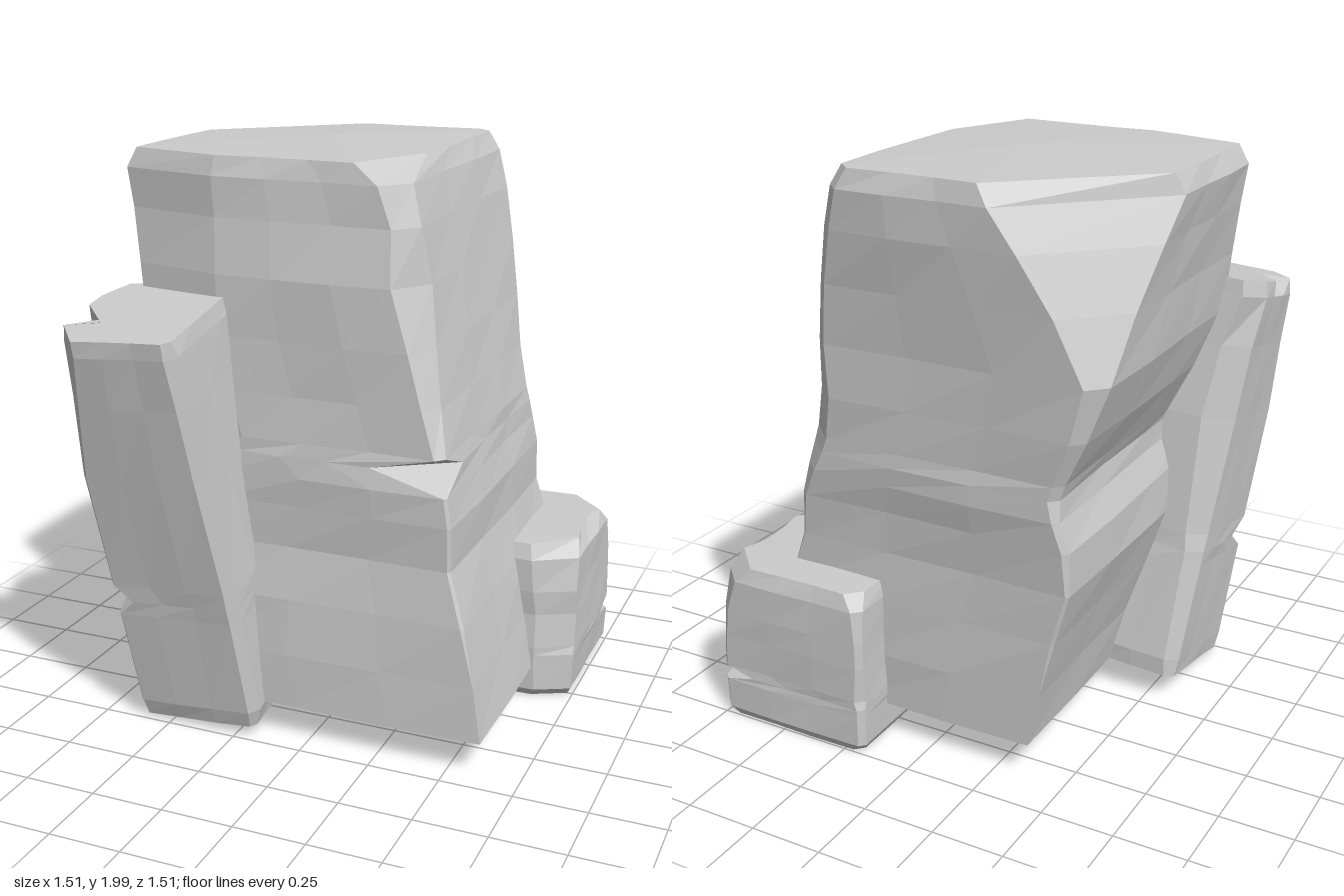
import * as THREE from 'three';

const material = new THREE.MeshStandardMaterial({ color: 0xcccccc, flatShading: true, side: THREE.DoubleSide });

// One ring: a rectangle with four cut corners and two slightly wobbled points on each side.
// row = [y, x0, x1, z0, z1, cut front-left, back-left, back-right, front-right] seen with +x as left;
// the order is (+x+z), (+x-z), (-x-z), (-x+z) and a cut is a number or [dx, dz].
function ring(row, level, { rise = () => 0, wobble = 0.008 }) {
  const [y, x0, x1, z0, z1, ...cuts] = row;
  const [a, b, c, d] = cuts.map((k) => (Array.isArray(k) ? k : [k, k]));
  const corners = [
    [x1 - a[0], z1], [x1, z1 - a[1]], [x1, z0 + b[1]], [x1 - b[0], z0],
    [x0 + c[0], z0], [x0, z0 + c[1]], [x0, z1 - d[1]], [x0 + d[0], z1],
  ];
  const points = [];
  for (let i = 0; i < 8; i++) {
    const p = corners[i], q = corners[(i + 1) % 8];
    points.push(p);
    if (i % 2 === 0) continue;
    const dx = q[0] - p[0], dz = q[1] - p[1], len = Math.hypot(dx, dz) || 1;
    for (const t of [0.33, 0.67]) {
      const w = wobble * Math.sin(level * 1.3 + i * 1.7 + t * 3);
      points.push([p[0] + dx * t - (dz / len) * w, p[1] + dz * t + (dx / len) * w]);
    }
  }
  return points.map(([x, z]) => [x, y + rise(x - x0, z1 - z), z]);
}

// Stack rings into a closed rock; dents move single points of a ring.
function rock(name, rows, options = {}) {
  const rings = rows.map((row, i) => ring(row, i, options));
  for (const [level, index, dx, dz] of options.dents ?? []) {
    const p = rings.at(level)[index];
    p[0] += dx; p[2] += dz;
  }
  const n = rings[0].length, positions = rings.flat(2), indices = [];
  for (let i = 0; i < rings.length - 1; i++) {
    for (let j = 0; j < n; j++) {
      const a = i * n + j, b = i * n + ((j + 1) % n);
      indices.push(a, b, b + n, a, b + n, a + n);
    }
  }
  // Caps as fans around the middle
  const cap = (r, start, flip, lift) => {
    const mid = [0, 1, 2].map((k) => r.reduce((s, p) => s + p[k], 0) / n);
    const m = positions.length / 3;
    positions.push(mid[0], mid[1] + lift, mid[2]);
    for (let j = 0; j < n; j++) {
      const a = start + j, b = start + ((j + 1) % n);
      indices.push(m, ...(flip ? [b, a] : [a, b]));
    }
  };
  cap(rings[0], 0, true, 0);
  cap(rings.at(-1), (rings.length - 1) * n, false, options.crown ?? 0);
  const geometry = new THREE.BufferGeometry();
  geometry.setAttribute('position', new THREE.Float32BufferAttribute(positions, 3));
  geometry.setIndex(indices);
  geometry.computeVertexNormals();
  const mesh = new THREE.Mesh(geometry, material);
  mesh.name = name;
  return mesh;
}

export function createModel() {
  const group = new THREE.Group();
  group.name = 'rockCluster';

  // Tall leaning rock with a notch in its front corner and a broad bevel at the rear top
  group.add(rock('tallRock', [
    [0.13, -0.37, 0.615, -0.60, 0.43, 0, 0, 0, 0],
    [0.32, -0.41, 0.585, -0.60, 0.425, 0, 0, 0, 0],
    [0.52, -0.46, 0.545, -0.60, 0.42, 0.01, 0, 0.01, [0.1, 0.02]],
    [0.70, -0.51, 0.49, -0.60, 0.40, 0.01, 0.01, 0.01, [0.15, 0.03]],
    [0.85, -0.51, 0.49, -0.61, 0.405, 0.01, 0.03, 0.02, [0.2, 0.04]],
    [0.95, -0.48, 0.475, -0.62, 0.405, 0.01, 0.06, 0.02, [0.2, 0.04]],
    [1.02, -0.475, 0.47, -0.62, 0.40, [0.26, 0.17], 0.09, 0.03, [0.22, 0.05]],
    [1.07, -0.49, 0.46, -0.62, 0.40, [0.03, 0.03], 0.10, 0.03, [0.25, 0.05]],
    [1.22, -0.56, 0.425, -0.63, 0.395, [0.04, 0.07], 0.09, 0.04, [0.28, 0.06]],
    [1.40, -0.625, 0.395, -0.63, 0.39, [0.06, 0.10], 0.05, 0.06, [0.3, 0.07]],
    [1.60, -0.65, 0.365, -0.64, 0.385, [0.09, 0.13], 0.04, 0.18, [0.32, 0.08]],
    [1.78, -0.68, 0.335, -0.66, 0.36, [0.07, 0.08], 0.05, 0.32, [0.34, 0.08]],
    [1.91, -0.70, 0.30, -0.67, 0.36, [0.08, 0.10], 0.05, 0.43, [0.35, 0.08]],
    [1.975, -0.67, 0.265, -0.655, 0.345, [0.13, 0.30], 0.05, [0.44, 0.40], [0.33, 0.08]],
  ], { crown: 0.02 }));

  // Narrow slab leaning forward, its cross-sections tilted with it, chipped at the top edge
  group.add(rock('leaningSlab', [
    [0.02, -0.60, -0.175, 0.05, 0.48, 0.02, 0.02, 0.03, 0.01],
    [0.08, -0.61, -0.16, 0.05, 0.50, 0.03, 0.02, 0.04, 0.01],
    [0.43, -0.645, -0.19, 0.12, 0.56, 0.03, 0.02, 0.05, 0.01],
    [0.48, -0.65, -0.195, 0.13, 0.57, 0.03, 0.02, 0.05, [0.07, 0.11]],
    [0.54, -0.655, -0.20, 0.14, 0.58, 0.03, 0.02, 0.06, 0.01],
    [0.95, -0.70, -0.245, 0.20, 0.66, 0.035, 0.02, 0.09, 0.02],
    [1.20, -0.73, -0.27, 0.25, 0.71, 0.035, 0.02, 0.08, [0.07, 0.08]],
    [1.37, -0.755, -0.29, 0.28, 0.745, 0.035, 0.02, [0.05, 0.1], [0.11, 0.12]],
    [1.425, -0.75, -0.305, 0.29, 0.75, 0.025, 0.02, [0.05, 0.1], [0.1, 0.12]],
  ], { rise: (x, z) => 0.2 * z + 0.07 * x, wobble: 0.004, dents: [[-1, 11, 0.13, 0.06]] }));

  // Low block with a small crack in its rear corner
  group.add(rock('lowBlock', [
    [0.01, 0.19, 0.73, -0.74, -0.19, [0.12, 0.06], 0.03, 0.03, 0.03],
    [0.04, 0.17, 0.745, -0.755, -0.17, [0.12, 0.06], 0.02, 0.02, 0.03],
    [0.15, 0.17, 0.75, -0.755, -0.17, [0.13, 0.06], 0.02, 0.02, 0.03],
    [0.175, 0.17, 0.75, -0.755, -0.17, [0.13, 0.06], 0.13, 0.02, 0.03],
    [0.205, 0.17, 0.75, -0.755, -0.17, [0.13, 0.07], 0.02, 0.03, 0.03],
    [0.33, 0.17, 0.75, -0.755, -0.18, [0.13, 0.07], 0.03, 0.02, 0.03],
    [0.42, 0.17, 0.75, -0.755, -0.17, [0.14, 0.07], 0.04, 0.02, 0.03],
    [0.54, 0.17, 0.75, -0.755, -0.17, [0.15, 0.09], 0.08, 0.03, 0.04],
    [0.595, 0.185, 0.73, -0.74, -0.19, [0.14, 0.13], 0.12, 0.05, 0.04],
  ], { crown: 0.005, wobble: 0.004, dents: [[-1, 3, -0.03, 0], [-1, 2, -0.02, 0]] }));

  return group;
}
